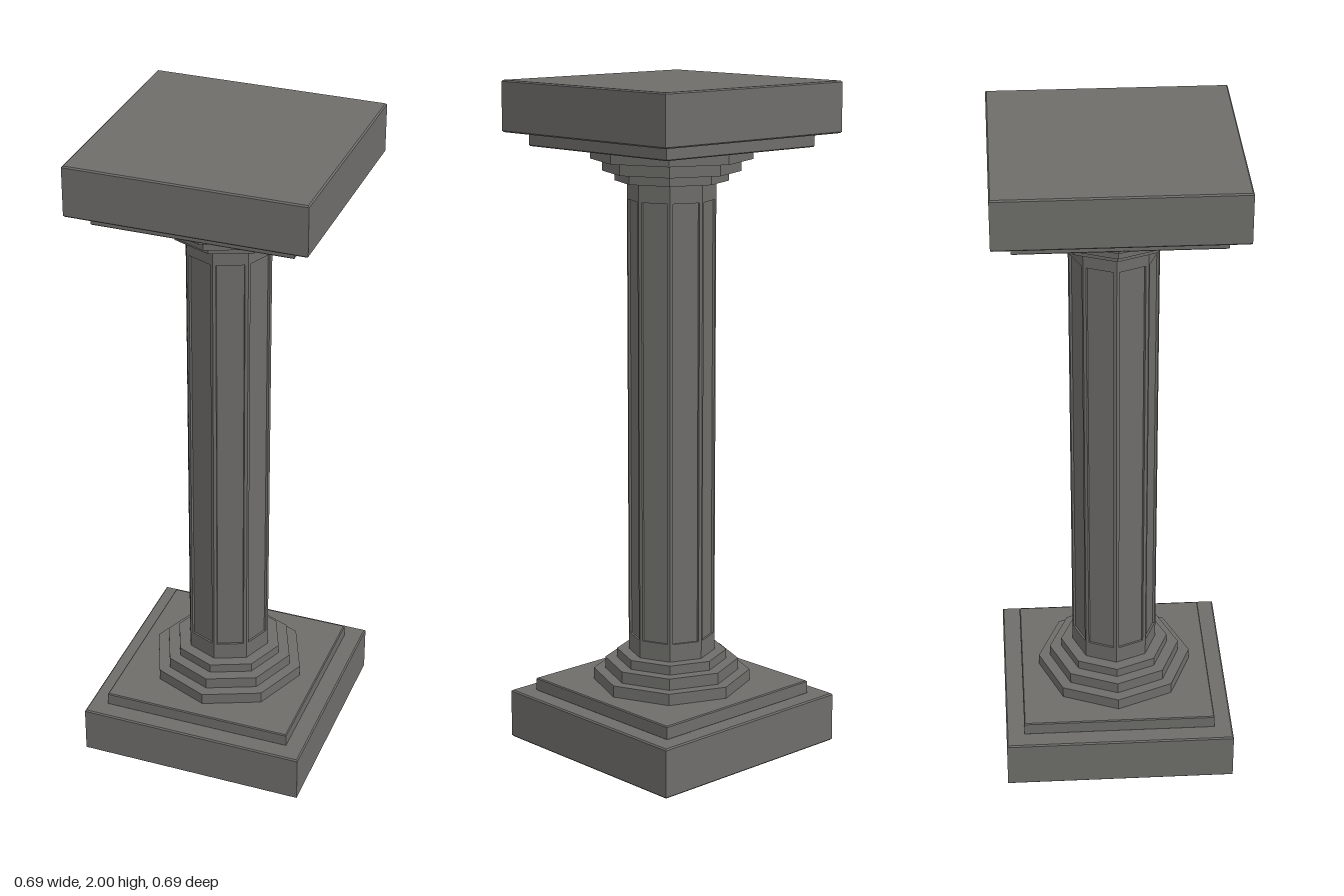
import * as THREE from 'three';

const stone = new THREE.MeshStandardMaterial({ color: 0x6e6d6a, flatShading: true });

function add(group, name, geometry, y = 0) {
  const mesh = new THREE.Mesh(geometry, stone);
  mesh.name = name;
  mesh.position.y = y;
  group.add(mesh);
  return mesh;
}

// Square slab with a small chamfer on every edge, standing on y = 0
function slab(half, height, bevel) {
  const h = half - bevel;
  const shape = new THREE.Shape([
    new THREE.Vector2(-h, -h), new THREE.Vector2(h, -h),
    new THREE.Vector2(h, h), new THREE.Vector2(-h, h),
  ]);
  const geo = new THREE.ExtrudeGeometry(shape, {
    depth: height - 2 * bevel, bevelEnabled: true,
    bevelSize: bevel, bevelThickness: bevel, bevelSegments: 1,
  });
  return geo.translate(0, 0, bevel).rotateX(-Math.PI / 2);
}

// Octagonal prism with a corner facing the front
const octagon = (radius, y0, y1) =>
  new THREE.CylinderGeometry(radius, radius, y1 - y0, 8).translate(0, (y0 + y1) / 2, 0);

// Octagonal section with a shallow recess in each side
function panelledSection(radius, margin, depth) {
  const points = [];
  const corner = (i) => new THREE.Vector2(Math.cos(i * Math.PI / 4), Math.sin(i * Math.PI / 4)).multiplyScalar(radius);
  for (let i = 0; i < 8; i++) {
    const a = corner(i), b = corner(i + 1);
    const inward = a.clone().add(b).normalize().multiplyScalar(-depth);
    const at = (t) => a.clone().lerp(b, t);
    points.push(a, at(margin), at(margin + 0.02).add(inward), at(0.98 - margin).add(inward), at(1 - margin));
  }
  return new THREE.Shape(points);
}

// Plinth, square step and three octagonal steps, with a plain collar of shaft
function makeEnd(name) {
  const end = new THREE.Group();
  end.name = name;
  add(end, 'plinth', slab(0.347, 0.15, 0.004));
  add(end, 'squareStep', slab(0.292, 0.042, 0.003), 0.148);
  [[0.237, 0.188, 0.225], [0.202, 0.225, 0.26], [0.166, 0.26, 0.288]].forEach(([r, y0, y1], i) =>
    add(end, `octagonalStep${i + 1}`, octagon(r, y0, y1)));
  add(end, 'collar', octagon(0.13, 0.288, 0.342));
  return end;
}

export function createModel() {
  const model = new THREE.Group();
  model.name = 'column';

  // Base, and the same mouldings turned over as the capital
  const capital = makeEnd('capital');
  capital.rotation.x = Math.PI;
  capital.position.y = 2;
  model.add(makeEnd('base'), capital);

  // Shaft with recessed panels between the two collars
  const shaft = new THREE.ExtrudeGeometry(panelledSection(0.13, 0.09, 0.006), {
    depth: 1.316, bevelEnabled: false,
  }).rotateX(-Math.PI / 2);
  add(model, 'shaft', shaft, 0.342);

  return model;
}
